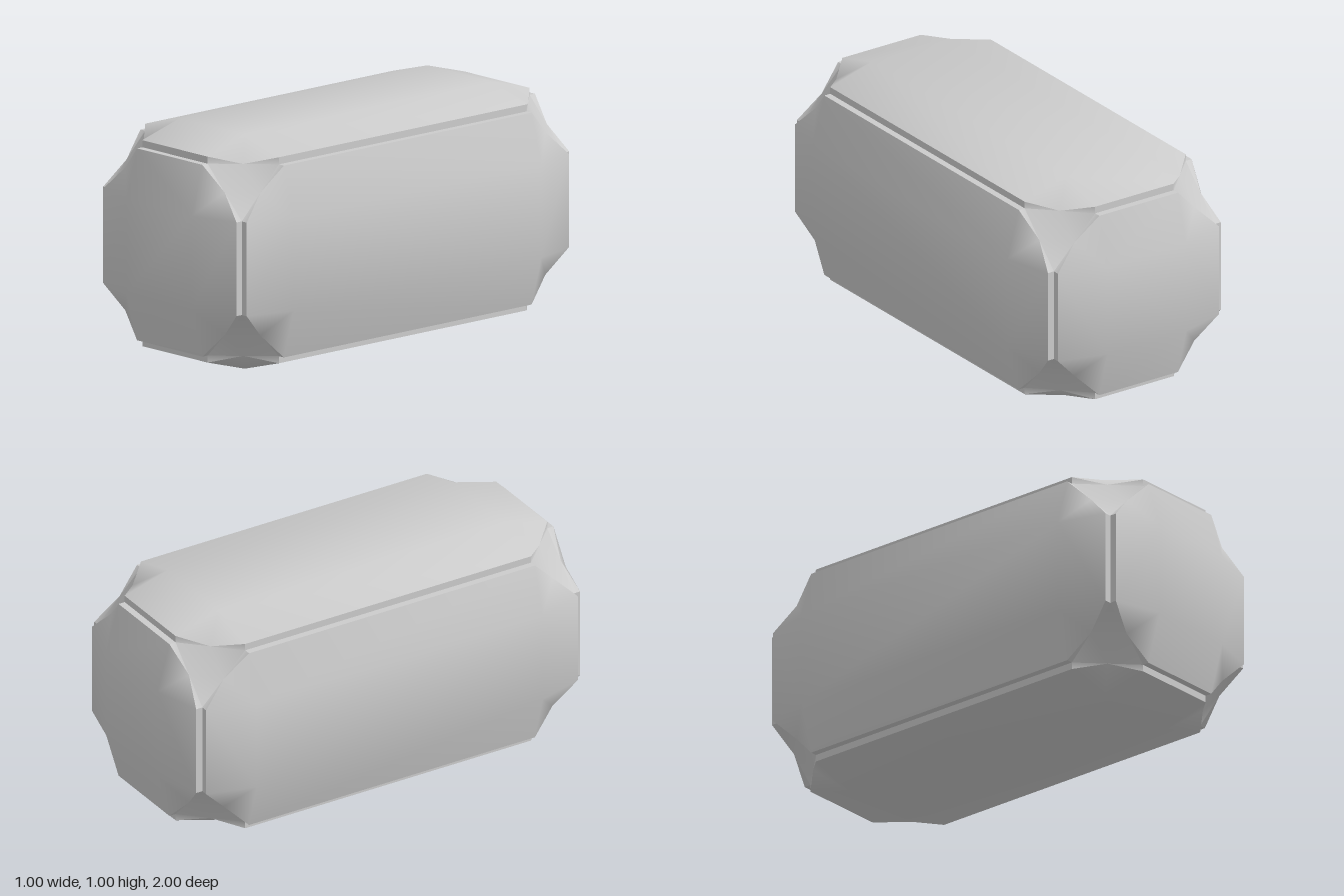
import * as THREE from 'three';
import { toCreasedNormals } from 'three/addons/utils/BufferGeometryUtils.js';

const CORE = [0.2, 0.2, 0.7]; // half size of the flat core of each panel
const RISE = 0.3;             // panel centre above the core
const RIM = 0.24;             // panel rim above the core
const EDGE = 0.21;            // panel reach past the core, also the groove floor
const CREASE = THREE.MathUtils.degToRad(40);

export function createModel() {
  const parts = { panels: [], grooves: [], cornerFacets: [] };

  // Triangles are wound to face away from the centre.
  const tri = (part, a, b, c) => {
    const n = new THREE.Vector3().subVectors(b, a).cross(new THREE.Vector3().subVectors(c, a));
    const mid = new THREE.Vector3().add(a).add(b).add(c);
    parts[part].push(...(n.dot(mid) > 0 ? [a, b, c] : [a, c, b]));
  };
  const quad = (part, a, b, c, d) => { tri(part, a, b, c); tri(part, a, c, d); };

  // Six raised panels with bevelled borders and cut corners
  for (let n = 0; n < 3; n++) {
    const u = (n + 1) % 3, v = (n + 2) % 3;
    for (const s of [-1, 1]) {
      // Points of one quadrant of the panel
      const quadrant = (su, sv) => {
        const at = (du, dv, dn) => {
          const p = new THREE.Vector3();
          p.setComponent(u, su * (CORE[u] + du));
          p.setComponent(v, sv * (CORE[v] + dv));
          p.setComponent(n, s * (CORE[n] + dn));
          return p;
        };
        return {
          core: at(0, 0, RISE),
          rimU: at(EDGE, 0, RIM), rimV: at(0, EDGE, RIM),
          footU: at(EDGE, 0, EDGE), footV: at(0, EDGE, EDGE),
          cut: at(EDGE / 2, EDGE / 2, EDGE),
        };
      };
      const q = [[1, 1], [-1, 1], [-1, -1], [1, -1]].map(([a, b]) => quadrant(a, b));
      quad('panels', q[0].core, q[1].core, q[2].core, q[3].core);
      q.forEach((a, i) => {
        // Cut corner and the small walls that taper out of it
        tri('panels', a.core, a.rimU, a.cut);
        tri('panels', a.core, a.cut, a.rimV);
        tri('grooves', a.rimU, a.footU, a.cut);
        tri('grooves', a.rimV, a.footV, a.cut);
        // Sloped border and groove wall towards the next quadrant
        const b = q[(i + 1) % 4];
        const k = i % 2 ? 'U' : 'V';
        quad('panels', a.core, a['rim' + k], b['rim' + k], b.core);
        quad('grooves', a['rim' + k], a['foot' + k], b['foot' + k], b['rim' + k]);
      });
    }
  }

  // Eight corner facets joining the ends of the grooves
  for (const x of [-1, 1]) for (const y of [-1, 1]) for (const z of [-1, 1]) {
    const at = (dx, dy, dz) => new THREE.Vector3(
      x * (CORE[0] + dx), y * (CORE[1] + dy), z * (CORE[2] + dz));
    const h = EDGE / 2;
    const a = at(0, EDGE, EDGE), b = at(EDGE, 0, EDGE), c = at(EDGE, EDGE, 0);
    const ab = at(h, h, EDGE), bc = at(EDGE, h, h), ca = at(h, EDGE, h);
    tri('cornerFacets', a, ab, ca);
    tri('cornerFacets', b, bc, ab);
    tri('cornerFacets', c, ca, bc);
    tri('cornerFacets', ab, bc, ca);
  }

  // Shade the shell as a whole, then split it into its parts
  const shell = toCreasedNormals(
    new THREE.BufferGeometry().setFromPoints(Object.values(parts).flat()), CREASE);
  const material = new THREE.MeshStandardMaterial({ color: 0xcccccc });
  const group = new THREE.Group();
  group.name = 'panelledBlock';
  let start = 0;
  for (const [name, points] of Object.entries(parts)) {
    const end = start + points.length;
    const geometry = new THREE.BufferGeometry();
    for (const key of ['position', 'normal']) {
      geometry.setAttribute(key, new THREE.BufferAttribute(
        shell.attributes[key].array.slice(start * 3, end * 3), 3));
    }
    const mesh = new THREE.Mesh(geometry, material);
    mesh.name = name;
    mesh.position.y = 0.5;
    group.add(mesh);
    start = end;
  }
  return group;
}
